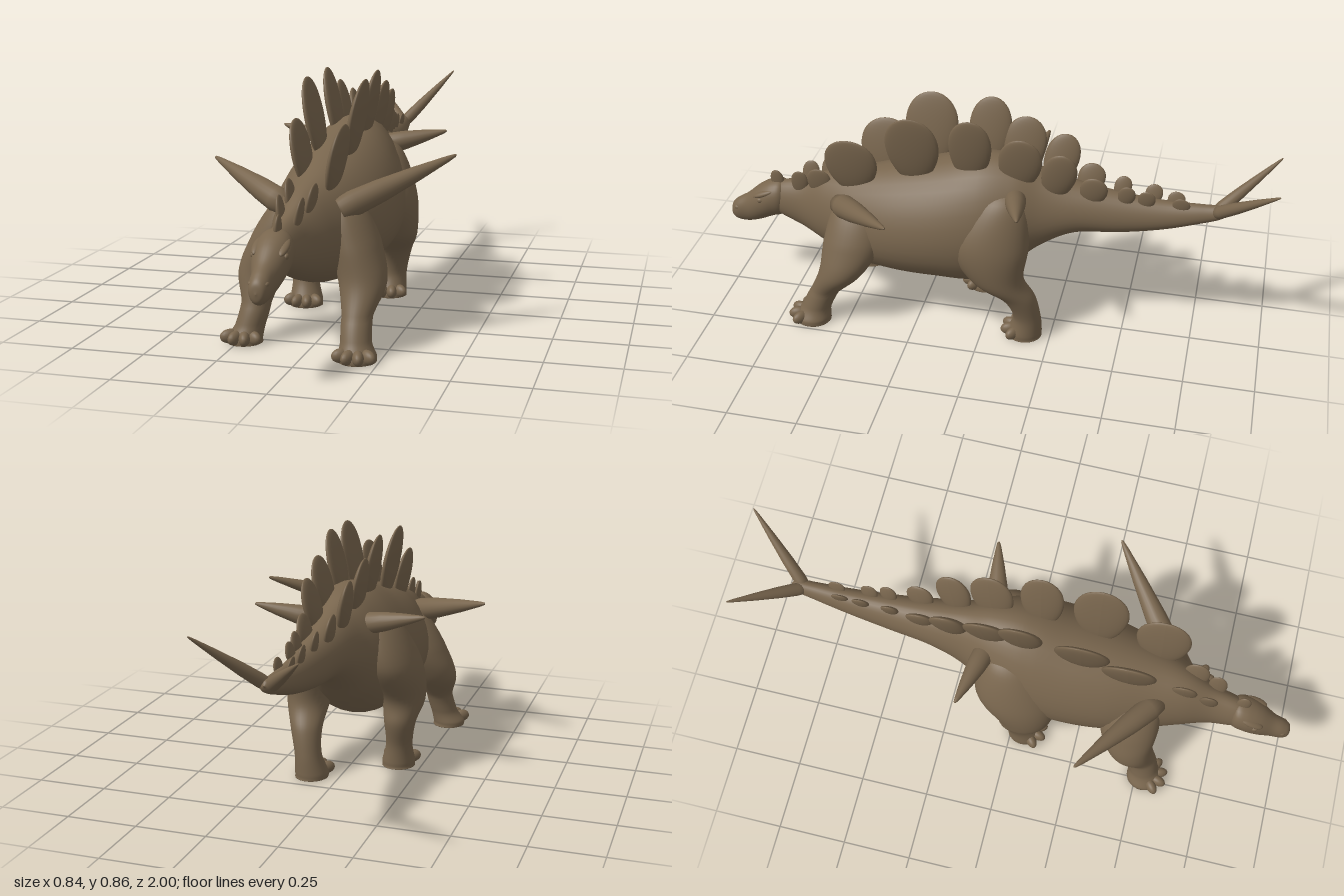
import * as THREE from 'three';

const hide = new THREE.MeshStandardMaterial({ color: 0x78654d });
hide.name = 'brown hide';

export function createModel() {
  const model = new THREE.Group();
  model.name = 'platedDinosaur';

  const add = (geometry, name, parent = model) => {
    const mesh = new THREE.Mesh(geometry, hide);
    mesh.name = name;
    parent.add(mesh);
    return mesh;
  };

  // Smooth skin through elliptical sections [x, y, z, radiusX, otherRadius].
  // Upright skins run top to bottom, the others run front to back.
  // pinch narrows the upper half of each section.
  function loft(sections, upright, pinch = 0, steps = 8, cols = 32) {
    const spans = sections.length - 1, rows = spans * steps;
    const curve = (points) => new THREE.CatmullRomCurve3(points, false, 'catmullrom', 0.5);
    const centre = curve(sections.map((s) => new THREE.Vector3(s[0], s[1], s[2])));
    const size = curve(sections.map((s) => new THREE.Vector3(s[3], s[4], 0)));
    const pos = [], idx = [];
    for (let i = 0; i <= rows; i++) {
      const c = centre.getPoint(i / rows), r = size.getPoint(i / rows);
      // Keep every value between its two neighbouring sections
      const n = Math.min(Math.floor(i / steps), spans - 1), s0 = sections[n], s1 = sections[n + 1];
      const within = (v, k) => THREE.MathUtils.clamp(v, Math.min(s0[k], s1[k]), Math.max(s0[k], s1[k]));
      const y = upright ? within(c.y, 1) : c.y, a = within(r.x, 3), b = within(r.y, 4);
      for (let j = 0; j < cols; j++) {
        const t = (j / cols) * Math.PI * 2, s = Math.sin(t);
        const x = c.x + a * Math.cos(t) * (1 - pinch * s);
        if (upright) pos.push(x, y, c.z - b * s);
        else pos.push(x, y + b * s, c.z);
        if (i < rows) {
          const k = (j + 1) % cols, p = i * cols, q = p + cols;
          idx.push(p + j, q + j, p + k, q + j, q + k, p + k);
        }
      }
    }
    const g = new THREE.BufferGeometry();
    g.setAttribute('position', new THREE.Float32BufferAttribute(pos, 3));
    g.setIndex(idx);
    g.computeVertexNormals();
    return g;
  }

  const ball = (name, p, s, parent) => {
    const m = add(new THREE.SphereGeometry(1, 20, 14), name, parent);
    m.position.set(...p);
    m.scale.set(...s);
    return m;
  };

  // Neck, trunk and tail
  add(loft([
    [-0.03, 0.385, 0.84, 0.001, 0.001], [-0.03, 0.385, 0.81, 0.045, 0.06],
    [-0.02, 0.38, 0.7, 0.065, 0.1], [-0.01, 0.385, 0.6, 0.105, 0.145],
    [0, 0.385, 0.48, 0.152, 0.18], [0, 0.4, 0.33, 0.194, 0.208],
    [0, 0.42, 0.17, 0.208, 0.23], [0, 0.44, 0.02, 0.195, 0.248],
    [0, 0.475, -0.1, 0.155, 0.205], [0, 0.5, -0.2, 0.108, 0.145],
    [0, 0.517, -0.32, 0.082, 0.095], [0, 0.514, -0.47, 0.062, 0.075],
    [0, 0.523, -0.62, 0.045, 0.054], [0, 0.545, -0.75, 0.031, 0.035],
    [0, 0.56, -0.82, 0.022, 0.022], [0, 0.565, -0.84, 0.001, 0.001],
  ], false, 0.14), 'body');

  // Head with brows, eyes and beak
  const head = new THREE.Group();
  head.name = 'head';
  model.add(head);
  add(loft([
    [-0.03, 0.3, 1, 0.001, 0.001], [-0.03, 0.302, 0.993, 0.022, 0.03],
    [-0.03, 0.307, 0.97, 0.033, 0.047], [-0.03, 0.32, 0.93, 0.039, 0.06],
    [-0.03, 0.35, 0.88, 0.055, 0.073], [-0.03, 0.375, 0.83, 0.062, 0.075],
    [-0.03, 0.385, 0.785, 0.052, 0.065], [-0.03, 0.39, 0.76, 0.001, 0.001],
  ], false, -0.08), 'skull', head);
  for (const side of [-1, 1]) {
    const brow = ball('brow', [-0.03 + side * 0.042, 0.41, 0.852], [0.016, 0.011, 0.045], head);
    brow.rotation.x = 0.4;
    ball('eye', [-0.03 + side * 0.052, 0.385, 0.865], [0.008, 0.01, 0.012], head);
    ball('nostril', [-0.03 + side * 0.024, 0.325, 0.968], [0.009, 0.009, 0.014], head);
  }

  // Legs, each with four toes
  const legs = {
    frontLeftLeg: [[0.07, 0.51, 0.46, 0.001, 0.001], [0.09, 0.46, 0.46, 0.06, 0.085],
      [0.13, 0.35, 0.47, 0.083, 0.108], [0.165, 0.23, 0.51, 0.079, 0.083],
      [0.165, 0.13, 0.58, 0.05, 0.054], [0.17, 0.06, 0.615, 0.05, 0.054], [0.178, 0.018, 0.63, 0.062, 0.066]],
    frontRightLeg: [[-0.07, 0.51, 0.44, 0.001, 0.001], [-0.095, 0.46, 0.43, 0.06, 0.085],
      [-0.145, 0.35, 0.43, 0.085, 0.108], [-0.195, 0.23, 0.45, 0.079, 0.083],
      [-0.2, 0.13, 0.5, 0.05, 0.054], [-0.215, 0.06, 0.52, 0.05, 0.054], [-0.232, 0.018, 0.53, 0.06, 0.064]],
    hindLeftLeg: [[0.07, 0.62, -0.07, 0.001, 0.001], [0.09, 0.56, -0.06, 0.07, 0.09],
      [0.125, 0.41, -0.025, 0.096, 0.145], [0.14, 0.27, -0.055, 0.08, 0.1],
      [0.125, 0.18, -0.135, 0.057, 0.062], [0.11, 0.09, -0.165, 0.048, 0.05], [0.1, 0.018, -0.155, 0.06, 0.064]],
    hindRightLeg: [[-0.07, 0.62, -0.03, 0.001, 0.001], [-0.1, 0.56, -0.02, 0.07, 0.09],
      [-0.15, 0.41, 0.01, 0.098, 0.145], [-0.18, 0.27, 0.05, 0.08, 0.1],
      [-0.178, 0.18, 0.015, 0.057, 0.062], [-0.172, 0.09, 0.03, 0.048, 0.05], [-0.165, 0.018, 0.05, 0.06, 0.064]],
  };
  for (const [name, sections] of Object.entries(legs)) {
    const leg = new THREE.Group();
    leg.name = name;
    model.add(leg);
    const [x, , z, a, b] = sections[sections.length - 1];
    add(loft([...sections, [x, 0, z, a, b], [x, 0, z, 0.001, 0.001]], true), 'limb', leg);
    for (let i = 0; i < 4; i++) {
      const t = (i - 1.5) * 0.6;
      ball('toe', [x + Math.sin(t) * a * 0.88, 0.024, z + Math.cos(t) * b * 0.85],
        [0.019, 0.024, 0.034], leg).rotation.y = t;
    }
  }

  // Leaf-shaped back plate: base centre, height, length, outward tilt, backward lean
  function plate(name, x, y, z, h, len, tilt, lean, thick) {
    const g = new THREE.SphereGeometry(1, 28, 20);
    const p = g.attributes.position;
    for (let i = 0; i < p.count; i++) {
      const v = p.getY(i);
      p.setXYZ(i, p.getX(i) * thick * (1 - 0.2 * v), ((v + 1) * h) / 2,
        (p.getZ(i) * len * (1 + 0.16 * v)) / 2);
    }
    g.computeVertexNormals();
    const m = add(g, name);
    m.position.set(x, y, z);
    m.rotation.set(-lean, 0, -tilt);
  }

  // Paired plates: [z left, z right, x, base y, height, length, backward lean]
  const pairs = [
    [0.49, 0.4, 0.05, 0.5, 0.235, 0.19, 0.06], [0.26, 0.23, 0.05, 0.57, 0.285, 0.19, 0.03],
    [0.06, 0.02, 0.045, 0.6, 0.265, 0.15, 0.06], [-0.1, -0.09, 0.04, 0.58, 0.23, 0.15, 0.18],
    [-0.23, -0.22, 0.035, 0.56, 0.205, 0.12, 0.25], [-0.36, -0.34, 0.027, 0.545, 0.125, 0.095, 0.25],
    [-0.48, -0.46, 0.018, 0.55, 0.09, 0.06, 0.2], [-0.55, -0.57, 0.014, 0.545, 0.08, 0.06, 0.2],
    [-0.67, -0.65, 0.01, 0.54, 0.068, 0.06, 0.2],
  ];
  for (const [zl, zr, x, y, h, len, lean] of pairs) {
    const thick = Math.min(0.021, h * 0.13);
    plate('leftBackPlate', x, y, zl, h, len, 0.2, lean, thick);
    plate('rightBackPlate', -x, y, zr, h, len, -0.2, lean, thick);
  }

  // Small plates on the neck
  plate('neckPlate', 0.015, 0.44, 0.63, 0.125, 0.09, 0.2, 0.1, 0.014);
  plate('neckPlate', -0.04, 0.44, 0.6, 0.13, 0.09, -0.15, 0.1, 0.014);
  plate('neckPlate', 0, 0.42, 0.71, 0.115, 0.065, 0.2, 0.1, 0.012);
  plate('neckPlate', -0.045, 0.42, 0.69, 0.115, 0.065, -0.15, 0.1, 0.012);
  plate('crestPlate', -0.03, 0.4, 0.8, 0.1, 0.05, 0.1, -0.1, 0.012);

  // Tapered spikes from root to tip
  function spike(name, from, to, r) {
    const a = new THREE.Vector3(...from), d = new THREE.Vector3(...to).sub(a);
    const L = d.length();
    const profile = [[0, 0], [r * 0.85, 0], [r, L * 0.12], [r * 0.88, L * 0.35],
      [r * 0.58, L * 0.65], [r * 0.24, L * 0.92], [r * 0.12, L * 0.985], [0, L]];
    const m = add(new THREE.LatheGeometry(profile.map((p) => new THREE.Vector2(...p)), 20), name);
    m.position.copy(a);
    m.quaternion.setFromUnitVectors(new THREE.Vector3(0, 1, 0), d.normalize());
  }
  spike('leftShoulderSpike', [0.09, 0.46, 0.53], [0.42, 0.61, 0.26], 0.043);
  spike('rightShoulderSpike', [-0.09, 0.46, 0.51], [-0.42, 0.57, 0.28], 0.043);
  spike('leftHipSpike', [0.08, 0.57, -0.11], [0.305, 0.623, -0.16], 0.038);
  spike('rightHipSpike', [-0.08, 0.57, -0.11], [-0.312, 0.625, -0.16], 0.038);
  spike('leftTailSpike', [0, 0.55, -0.79], [0.17, 0.75, -1], 0.023);
  spike('rightTailSpike', [0, 0.55, -0.79], [-0.17, 0.7, -1], 0.023);

  return model;
}
